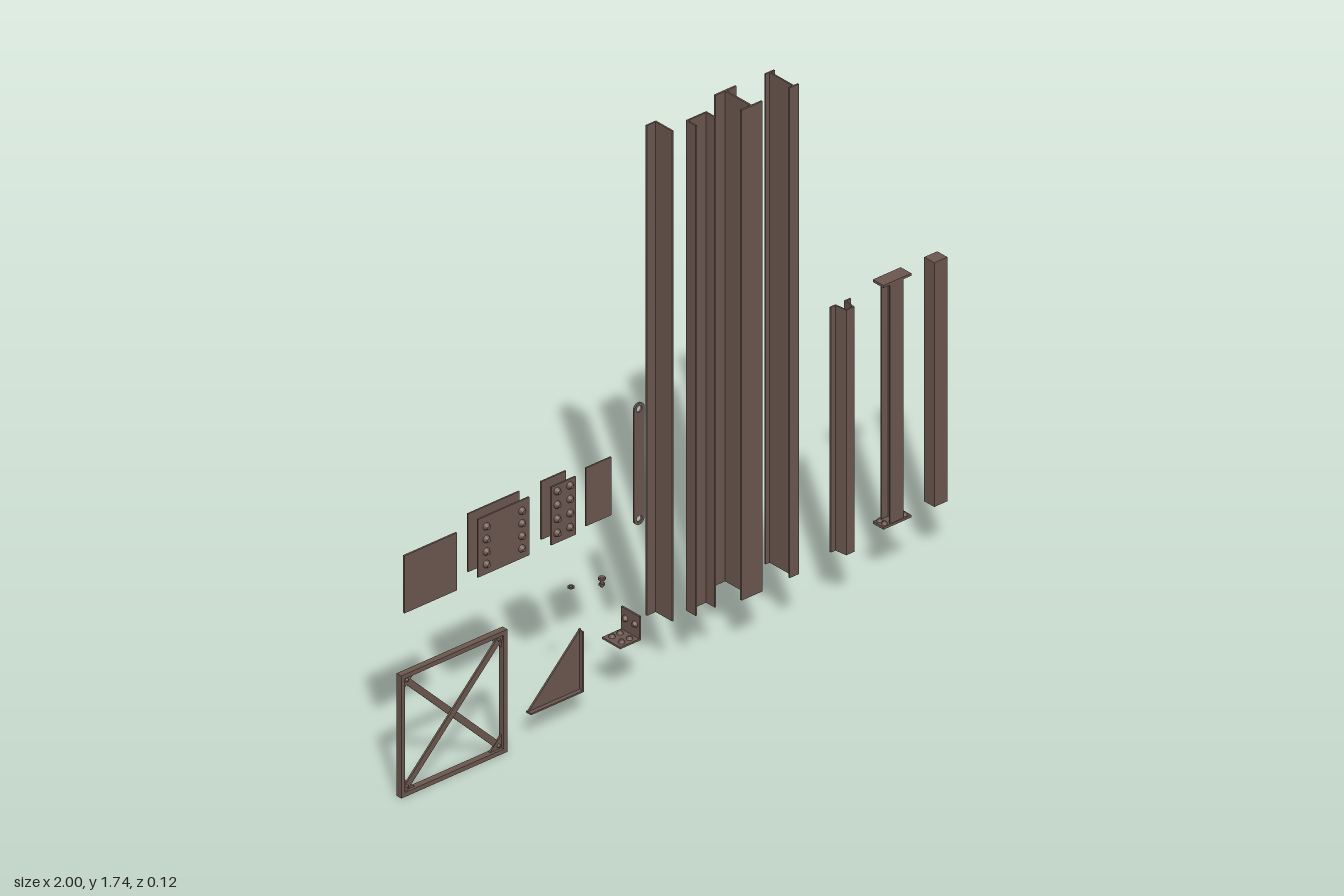
import * as THREE from 'three';

const steel = new THREE.MeshStandardMaterial({ color: 0x6b574f });
steel.name = 'brown steel';

export function createModel() {
  const root = new THREE.Group();
  root.name = 'steelPartsKit';

  const group = (name) => {
    const g = new THREE.Group();
    g.name = name;
    root.add(g);
    return g;
  };
  const add = (name, geo, parent = root) => {
    const m = new THREE.Mesh(geo, steel);
    m.name = name;
    parent.add(m);
    return m;
  };
  // box given by its limits
  const box = (name, x0, x1, y0, y1, z0, z1, parent) => {
    const m = add(name, new THREE.BoxGeometry(x1 - x0, y1 - y0, z1 - z0), parent);
    m.position.set((x0 + x1) / 2, (y0 + y1) / 2, (z0 + z1) / 2);
    return m;
  };
  const polygon = (pts) => new THREE.Shape(pts.map(([x, y]) => new THREE.Vector2(x, y)));
  const extrude = (shape, depth) =>
    new THREE.ExtrudeGeometry(shape, { depth, bevelEnabled: false, curveSegments: 10 });
  // upright bar from a cross-section of [x, z] points
  const profile = (name, pts, y0, y1) => {
    const geo = extrude(polygon(pts.map(([x, z]) => [x, -z])), y1 - y0);
    geo.rotateX(-Math.PI / 2);
    add(name, geo).position.y = y0;
  };
  // tapered bolt head pointing along dir
  const headGeo = new THREE.CylinderGeometry(0.006, 0.012, 0.012, 12);
  headGeo.translate(0, 0.006, 0);
  const up = new THREE.Vector3(0, 1, 0);
  const bolt = (x, y, z, dir, parent, s = 1) => {
    const m = add('boltHead', headGeo, parent);
    m.position.set(x, y, z);
    m.quaternion.setFromUnitVectors(up, new THREE.Vector3(...dir));
    m.scale.setScalar(s);
  };
  // I-section outline
  const iSection = (x0, x1, z0, z1, t) => {
    const c = (x0 + x1) / 2, h = t / 2;
    return [[x0, z0], [x1, z0], [x1, z0 + t], [c + h, z0 + t], [c + h, z1 - t], [x1, z1 - t],
      [x1, z1], [x0, z1], [x0, z1 - t], [c - h, z1 - t], [c - h, z0 + t], [x0, z0 + t]];
  };

  // tall sections
  const B = 0.18, T = 1.74, S = 0.957;
  profile('angleBar', [[-0.037, -0.058], [0, -0.058], [0, 0.016], [-0.005, 0.016],
    [-0.005, -0.053], [-0.037, -0.053]], B, T);
  profile('channelBar', [[0.063, -0.005], [0.138, -0.005], [0.138, 0.036], [0.133, 0.036],
    [0.133, 0], [0.068, 0], [0.068, 0.036], [0.063, 0.036]], B, T);
  profile('wideBeam', iSection(0.214, 0.291, -0.059, 0.056, 0.006), B, T);
  profile('narrowBeam', iSection(0.394, 0.428, -0.054, 0.051, 0.005), B, T);

  // short sections
  const c = 0.612, half = [[0.037, 0.012], [0.016, 0.012], [0.011, 0.051]];
  const inner = [[0.015, 0.056], [0.02, 0.017], [0.037, 0.017]];
  const right = [...inner].reverse().map(([x, z]) => [c + x, z]);
  const left = inner.map(([x, z]) => [c - x, z]);
  profile('hatSection', [...right, ...left,
    ...half.map(([x, z]) => [c - x, z]),
    ...[...half].reverse().map(([x, z]) => [c + x, z])], 0.177, S);

  const post = group('post');
  profile('postShaft', iSection(0.789, 0.839, -0.02, 0.02, 0.005), B, S - 0.004);
  post.add(root.children.find((o) => o.name === 'postShaft'));
  box('basePlate', 0.763, 0.865, B, B + 0.008, -0.022, 0.022, post);
  box('capPlate', 0.763, 0.865, S - 0.008, S, -0.022, 0.022, post);
  for (const x of [0.777, 0.851])
    for (const z of [-0.01, 0.01]) bolt(x, B + 0.008, z, [0, 1, 0], post, 0.75);

  box('squareTube', 0.95, 0.998, B, S, -0.021, 0.021);

  // plain plates
  box('squarePlate', -0.972, -0.78, 0.57, 0.753, -0.005, 0.001);
  box('narrowPlate', -0.305, -0.212, 0.59, 0.775, -0.007, -0.002);

  // paired bolted splice plates
  const splice = (name, x0, x1, cols, rows) => {
    const g = group(name);
    box('frontPlate', x0, x1, 0.578, 0.763, -0.007, -0.002, g);
    box('backPlate', x0, x1, 0.578, 0.763, -0.048, -0.043, g);
    for (const x of cols) for (const y of rows) {
      bolt(x, y, -0.002, [0, 0, 1], g);
      bolt(x, y, -0.048, [0, 0, -1], g);
    }
  };
  splice('wideSplice', -0.7, -0.512, [-0.67, -0.54], [0.61, 0.65, 0.69, 0.73]);
  splice('narrowSplice', -0.432, -0.342, [-0.411, -0.364], [0.61, 0.655, 0.7, 0.743]);

  // link bar with rounded ends and pin holes
  const link = new THREE.Shape();
  link.absarc(-0.111, 0.89, 0.019, 0, Math.PI);
  link.absarc(-0.111, 0.541, 0.019, Math.PI, 2 * Math.PI);
  for (const y of [0.541, 0.89]) {
    const hole = new THREE.Path();
    hole.absarc(-0.111, y, 0.01, 0, 2 * Math.PI, true);
    link.holes.push(hole);
  }
  add('linkBar', extrude(link, 0.006)).position.z = -0.006;

  // cross-braced frame
  const frame = group('bracedFrame');
  const x0 = -1, x1 = -0.612, y0 = 0, y1 = 0.39, w = 0.014, D = 0.02;
  box('leftRail', x0, x0 + w, y0, y1, 0, D, frame);
  box('rightRail', x1 - w, x1, y0, y1, 0, D, frame);
  box('bottomRail', x0 + w, x1 - w, y0, y0 + w, 0, D, frame);
  box('topRail', x0 + w, x1 - w, y1 - w, y1, 0, D, frame);
  const cx = (x0 + x1) / 2, cy = (y0 + y1) / 2;
  for (const s of [-1, 1]) {
    const brace = add('brace', new THREE.BoxGeometry(0.505, 0.02, 0.006), frame);
    brace.position.set(cx, cy, 0.009 + s * 0.003);
    brace.rotation.z = s * Math.PI / 4;
    for (const t of [-1, 1]) {
      const px = cx + s * (0.194 - w), py = cy + t * (0.195 - w);
      const pts = [[px, py], [px - s * 0.042, py], [px, py - t * 0.042]];
      add('cornerGusset', extrude(polygon(pts), 0.006), frame).position.z = 0.005;
      bolt(px - s * 0.012, py - t * 0.012, 0.013, [0, 0, 1], frame, 0.5);
    }
  }

  // triangular bracket with flanged legs
  const tri = group('triangleBracket');
  add('web', extrude(polygon([[-0.522, 0.082], [-0.328, 0.082], [-0.328, 0.276]]), 0.006), tri)
    .position.z = -0.003;
  box('bottomFlange', -0.522, -0.328, 0.08, 0.085, -0.004, 0.016, tri);
  box('sideFlange', -0.333, -0.328, 0.085, 0.272, -0.004, 0.016, tri);

  // angle clip with bolts
  const clip = group('angleClip');
  box('clipBase', -0.213, -0.137, 0.18, 0.186, -0.04, 0.036, clip);
  box('clipUpright', -0.143, -0.137, 0.186, 0.257, -0.04, 0.036, clip);
  for (const z of [-0.022, 0.018]) {
    for (const x of [-0.192, -0.163]) bolt(x, 0.186, z, [0, 1, 0], clip, 0.85);
    bolt(-0.143, 0.226, z, [-1, 0, 0], clip, 0.85);
  }

  // loose washer and bolt
  const washer = new THREE.Shape();
  washer.absarc(0, 0, 0.01, 0, 2 * Math.PI);
  const bore = new THREE.Path();
  bore.absarc(0, 0, 0.005, 0, 2 * Math.PI, true);
  washer.holes.push(bore);
  const washerGeo = extrude(washer, 0.004);
  washerGeo.rotateX(-Math.PI / 2);
  add('washer', washerGeo).position.set(-0.314, 0.376, -0.054);

  const loose = group('looseBolt');
  const cyl = (name, r, h, n, y) => {
    add(name, new THREE.CylinderGeometry(r, r, h, n), loose).position.set(-0.251, y, 0.003);
  };
  cyl('shank', 0.005, 0.03, 12, 0.395);
  cyl('head', 0.011, 0.007, 6, 0.406);
  cyl('nut', 0.009, 0.006, 6, 0.388);

  return root;
}
